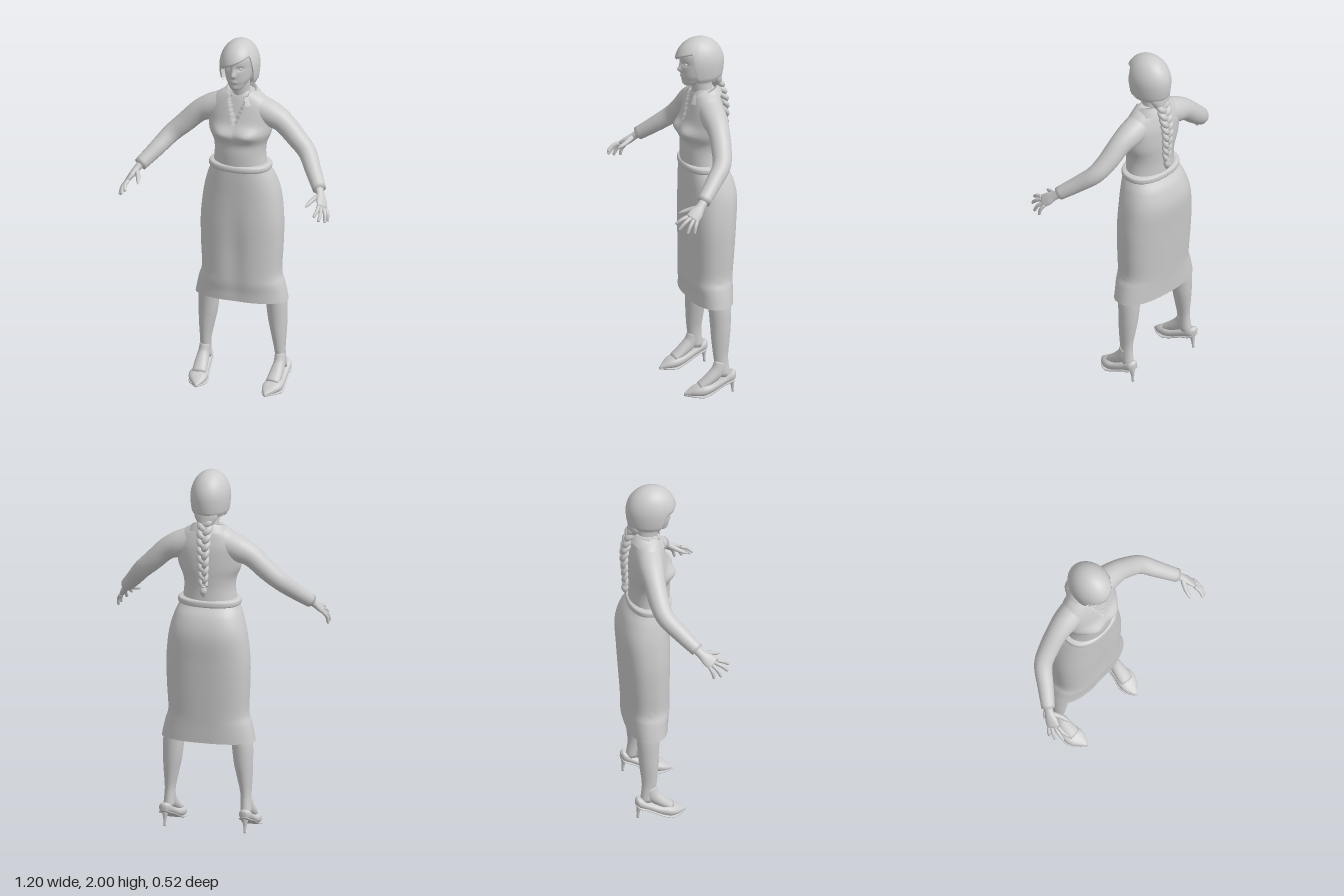
import * as THREE from 'three';
import { mergeVertices } from 'three/addons/utils/BufferGeometryUtils.js';

const clay = new THREE.MeshStandardMaterial({ color: 0xcccccc, side: THREE.DoubleSide });
clay.name = 'clay grey';

const X = new THREE.Vector3(1, 0, 0), Y = new THREE.Vector3(0, 1, 0), Z = new THREE.Vector3(0, 0, 1);
const bell = (x, y, cx, cy, sx, sy) => Math.exp(-(((x - cx) / sx) ** 2) - ((y - cy) / sy) ** 2);

// Smooth skin over elliptical sections [x, y, z, radiusA, radiusB]; radiusA lies along `side`.
function loft(rows, { side = X, axis = null, seg = 24, steps = 5, power = 1, caps = true, warp = null } = {}) {
  const path = new THREE.CatmullRomCurve3(rows.map(r => new THREE.Vector3(r[0], r[1], r[2])), false, 'catmullrom');
  const size = new THREE.CatmullRomCurve3(rows.map(r => new THREE.Vector3(r[3], r[4] ?? r[3], 0)), false, 'catmullrom');
  const n = (rows.length - 1) * steps, pos = [], idx = [];
  const round = v => Math.sign(v) * Math.abs(v) ** power;
  for (let i = 0; i <= n; i++) {
    const c = path.getPoint(i / n), s = size.getPoint(i / n), t = axis || path.getTangent(i / n);
    const a = side.clone().addScaledVector(t, -side.dot(t)).normalize();
    const b = t.clone().cross(a);
    for (let j = 0; j < seg; j++) {
      const th = j / seg * Math.PI * 2;
      const p = c.clone().addScaledVector(a, round(Math.cos(th)) * s.x).addScaledVector(b, round(Math.sin(th)) * s.y);
      if (warp) warp(p);
      pos.push(p.x, p.y, p.z);
      if (i < n) {
        const k = (j + 1) % seg, q = i * seg, w = q + seg;
        idx.push(q + j, q + k, w + k, q + j, w + k, w + j);
      }
    }
  }
  if (caps) {
    const e = pos.length / 3;
    [path.getPoint(0), path.getPoint(1)].forEach(p => pos.push(p.x, p.y, p.z));
    for (let j = 0; j < seg; j++) {
      const k = (j + 1) % seg;
      idx.push(e, k, j, e + 1, n * seg + j, n * seg + k);
    }
  }
  const g = new THREE.BufferGeometry();
  g.setAttribute('position', new THREE.Float32BufferAttribute(pos, 3));
  g.setIndex(idx);
  g.computeVertexNormals();
  return g;
}

// Upright sections given as [y, halfWidth, zFront, zBack]
const upright = (rows, opt) => loft(rows.map(([y, w, f, b]) => [0, y, (f + b) / 2, w, (f - b) / 2]), { axis: Y, ...opt });

function mirrored(geo) {
  const g = geo.clone().scale(-1, 1, 1), a = g.index.array;
  for (let i = 0; i < a.length; i += 3) [a[i], a[i + 1]] = [a[i + 1], a[i]];
  g.computeVertexNormals();
  return g;
}

// Hair shell: a dome whose lower edge sweeps over the brow and hangs at the sides and back
function hairShell() {
  const g = new THREE.SphereGeometry(1, 72, 30), p = g.attributes.position, uv = g.attributes.uv;
  for (let i = 0; i < p.count; i++) {
    const a = uv.getX(i) * Math.PI * 2 - Math.PI / 2, t = 1 - uv.getY(i);
    const dx = -Math.cos(a), dz = Math.sin(a);
    const front = THREE.MathUtils.smoothstep(dz, 0.3, 0.55);
    const edge = THREE.MathUtils.lerp(1.755, 1.885 + 0.05 * dx, front);
    const y = 2 - (2 - edge) * (1 - Math.cos(t * Math.PI / 2));
    let r = y > 1.86 ? Math.sqrt(Math.max(0, 1 - ((y - 1.86) / 0.14) ** 2)) : 1 - 0.13 * ((1.86 - y) / 0.11) ** 2;
    if (t > 0.96) r *= 0.93;
    p.setXYZ(i, dx * r * 0.107, y, -0.072 + dz * r * 0.137);
  }
  g.deleteAttribute('uv');
  g.deleteAttribute('normal');
  const m = mergeVertices(g, 1e-5);
  m.computeVertexNormals();
  return m;
}

// Folded collar: stand, fold and outer leaf around an open neck
function collarLeaf() {
  const g = new THREE.PlaneGeometry(1, 1, 48, 3), p = g.attributes.position;
  const rings = [[0.07, 0.065, 1.70], [0.076, 0.07, 1.728], [0.09, 0.08, 1.724], [0.118, 0.1, 1.682]];
  for (let i = 0; i < p.count; i++) {
    const [rx, rz, y] = rings[Math.floor(i / 49)], a = p.getX(i) * 5.3;
    p.setXYZ(i, rx * Math.sin(a), y - 0.024 * (1 - Math.cos(a)), -0.095 - rz * Math.cos(a));
  }
  g.computeVertexNormals();
  return g;
}

export function createModel() {
  const model = new THREE.Group();
  const add = (name, geo) => {
    const m = new THREE.Mesh(geo, clay);
    m.name = name;
    model.add(m);
    return m;
  };
  const pair = (name, geo) => { add('left' + name, geo); add('right' + name, mirrored(geo)); };

  // Head and face
  add('head', upright([
    [1.728, 0.012, 0.004, -0.03], [1.74, 0.036, 0.018, -0.06], [1.77, 0.056, 0.026, -0.11], [1.80, 0.07, 0.031, -0.14],
    [1.86, 0.08, 0.035, -0.17], [1.92, 0.08, 0.034, -0.17], [1.97, 0.05, 0, -0.13],
  ], {
    seg: 80, steps: 10, warp: p => {
      if (p.z < -0.03) return;
      const ax = Math.abs(p.x);
      p.z += 0.02 * bell(p.x, p.y, 0, 1.826, 0.012, 0.014) + 0.009 * bell(p.x, p.y, 0, 1.85, 0.01, 0.022)
        - 0.011 * bell(ax, p.y, 0.034, 1.864, 0.017, 0.011) + 0.007 * bell(p.x, p.y, 0, 1.787, 0.02, 0.009)
        - 0.003 * bell(p.x, p.y, 0, 1.788, 0.02, 0.002) + 0.004 * bell(p.x, p.y, 0, 1.75, 0.018, 0.012);
    },
  }));
  pair('Eye', mergeVertices(new THREE.SphereGeometry(0.011, 16, 10).scale(1.2, 0.6, 0.7).translate(0.034, 1.863, 0.016)));
  add('neck', loft([[0, 1.63, -0.1, 0.062, 0.06], [0, 1.69, -0.092, 0.05, 0.055], [0, 1.79, -0.075, 0.052, 0.06]]));

  // Hair and braid
  add('hair', hairShell());
  add('hairGather', loft([[0, 1.83, -0.15, 0.05, 0.04], [0, 1.77, -0.16, 0.065, 0.038], [0, 1.72, -0.175, 0.04, 0.028], [0, 1.68, -0.195, 0.02, 0.018]]));
  const spine = new THREE.CatmullRomCurve3([[1.76, -0.165], [1.67, -0.2], [1.58, -0.218], [1.48, -0.216], [1.385, -0.212]]
    .map(([y, z]) => new THREE.Vector3(0, y, z)));
  for (let k = 0; k < 3; k++) {
    const rows = [];
    for (let i = 0; i <= 36; i++) {
      const s = i / 36, c = spine.getPoint(s), w = 0.026 - 0.012 * s, a = s * Math.PI * 5.6 + k * Math.PI * 2 / 3;
      rows.push([w * Math.sin(a), c.y, c.z + 0.45 * w * Math.sin(2 * a), 0.021 - 0.009 * s, 0.018 - 0.007 * s]);
    }
    add('braidStrand' + (k + 1), loft(rows, { seg: 12, steps: 2 }));
  }
  add('braidTie', new THREE.TorusGeometry(0.013, 0.006, 8, 20).rotateX(Math.PI / 2).translate(0, 1.385, -0.212));
  add('braidTail', loft([[0, 1.39, -0.212, 0.012], [0, 1.36, -0.214, 0.02], [0, 1.34, -0.213, 0.014], [0, 1.322, -0.212, 0.003]], { seg: 12 }));

  // Blouse with bust and open V neckline
  add('blouse', upright([
    [1.26, 0.152, 0.025, -0.195], [1.35, 0.142, 0.03, -0.193], [1.41, 0.148, 0.028, -0.196], [1.47, 0.172, 0.03, -0.2],
    [1.53, 0.182, 0.018, -0.2], [1.59, 0.185, 0.002, -0.196], [1.64, 0.165, -0.012, -0.185], [1.68, 0.12, -0.025, -0.172],
    [1.705, 0.075, -0.04, -0.15],
  ], {
    seg: 120, steps: 10, warp: p => {
      if (p.z < -0.08) return;
      p.z += 0.03 * bell(Math.abs(p.x), p.y, 0.08, 1.475, 0.06, 0.038) + 0.01 * bell(p.x, p.y, 0, 1.475, 0.06, 0.045);
      if (Math.abs(p.x) < (p.y - 1.53) * 0.35) p.z -= 0.01;
    },
  }));
  add('collar', collarLeaf());

  // Sleeves and hands
  pair('Sleeve', loft([
    [0.08, 1.605, -0.1, 0.08, 0.075], [0.17, 1.575, -0.1, 0.072, 0.07], [0.24, 1.54, -0.096, 0.06, 0.06],
    [0.32, 1.465, -0.085, 0.055], [0.39, 1.4, -0.06, 0.05], [0.45, 1.33, 0.01, 0.044], [0.515, 1.258, 0.09, 0.037],
  ], { side: Y, seg: 32, steps: 6 }));
  const across = new THREE.Vector3(-0.4, 0.4, 0.8).normalize(), knuckle = new THREE.Vector3(0.558, 1.19, 0.168);
  pair('Palm', loft([
    [0.505, 1.268, 0.078, 0.026, 0.023], [0.528, 1.238, 0.11, 0.025, 0.019], [0.545, 1.212, 0.14, 0.036, 0.017],
    [0.56, 1.188, 0.17, 0.037, 0.012],
  ], { side: across }));
  const fingers = [
    ['IndexFinger', 0.028, [0.54, 1.163, 0.258]], ['MiddleFinger', 0.01, [0.565, 1.137, 0.248]],
    ['RingFinger', -0.009, [0.588, 1.117, 0.208]], ['LittleFinger', -0.028, [0.59, 1.112, 0.168]],
  ];
  for (const [name, offset, tip] of fingers) {
    const b = knuckle.clone().addScaledVector(across, offset), e = new THREE.Vector3(...tip);
    const m = b.clone().lerp(e, 0.5).add(new THREE.Vector3(0.006, 0.006, 0.003)), q = m.clone().lerp(e, 0.85);
    pair(name, loft([[...b.toArray(), 0.011], [...m.toArray(), 0.01], [...q.toArray(), 0.008], [...tip, 0.003]], { side: across, seg: 12 }));
  }
  pair('Thumb', loft([[0.527, 1.238, 0.118, 0.015], [0.502, 1.222, 0.158, 0.013], [0.488, 1.208, 0.195, 0.01], [0.481, 1.2, 0.22, 0.003]], { side: Y, seg: 12 }));

  // Skirt, open at the hem, and waistband
  add('skirt', upright([
    [0.5, 0.26, 0.01, -0.226], [0.55, 0.25, 0.012, -0.228], [0.6, 0.238, 0.018, -0.23], [0.66, 0.222, 0.02, -0.234],
    [0.8, 0.228, 0.022, -0.244], [0.95, 0.23, 0.025, -0.254], [1.1, 0.214, 0.026, -0.262], [1.2, 0.188, 0.028, -0.238],
    [1.26, 0.163, 0.028, -0.2],
  ], {
    seg: 80, steps: 6, power: 0.84, caps: false, warp: p => {
      if (p.z > -0.05) p.z -= 0.012 * bell(p.x, p.y, 0, 0.75, 0.05, 0.25);
    },
  }));
  add('waistband', upright([
    [1.255, 0.155, 0.02, -0.19], [1.26, 0.17, 0.032, -0.203], [1.275, 0.174, 0.036, -0.206], [1.29, 0.17, 0.032, -0.203],
    [1.296, 0.15, 0.02, -0.19],
  ], { seg: 64, power: 0.88 }));

  // Legs and insteps
  pair('Leg', loft([
    [0.217, 0.1, -0.135, 0.03, 0.036], [0.213, 0.2, -0.12, 0.029, 0.04], [0.206, 0.3, -0.12, 0.042, 0.05], [0.199, 0.38, -0.122, 0.052, 0.056],
    [0.191, 0.5, -0.12, 0.058, 0.063], [0.172, 0.62, -0.11, 0.055, 0.066], [0.145, 0.78, -0.11, 0.07, 0.08], [0.11, 1, -0.115, 0.09, 0.1],
  ], { axis: Y, seg: 32 }));
  pair('Foot', loft([
    [0.215, 0.18, -0.118, 0.028, 0.036], [0.217, 0.13, -0.1, 0.032, 0.038], [0.215, 0.085, -0.05, 0.038, 0.03], [0.21, 0.05, 0, 0.038, 0.022],
  ]));

  // High-heeled shoes: [x, bottom, top, z, halfWidth]
  const last = [
    [0.226, 0.088, 0.122, -0.198, 0.012], [0.225, 0.072, 0.13, -0.178, 0.034], [0.222, 0.052, 0.098, -0.125, 0.038], [0.219, 0.018, 0.072, -0.06, 0.045],
    [0.215, 0.002, 0.066, -0.01, 0.054], [0.209, 0.002, 0.05, 0.03, 0.046], [0.202, 0.002, 0.03, 0.062, 0.024], [0.197, 0.002, 0.014, 0.085, 0.004],
  ];
  pair('Shoe', loft(last.map(([x, b, t, z, w]) => [x, (b + t) / 2, z, w, (t - b) / 2]), { axis: Z, seg: 28, power: 0.85 }));
  pair('Sole', loft(last.map(([x, b, t, z, w]) => [x, b + 0.003, z, w + 0.002, 0.005]), { axis: Z, seg: 20, power: 0.5 }));
  pair('Heel', loft([[0.225, 0.09, -0.17, 0.025, 0.022], [0.225, 0.06, -0.178, 0.014, 0.014], [0.225, 0.03, -0.182, 0.008], [0.225, 0, -0.184, 0.007]], { axis: Y.clone().negate(), seg: 14 }));
  return model;
}
